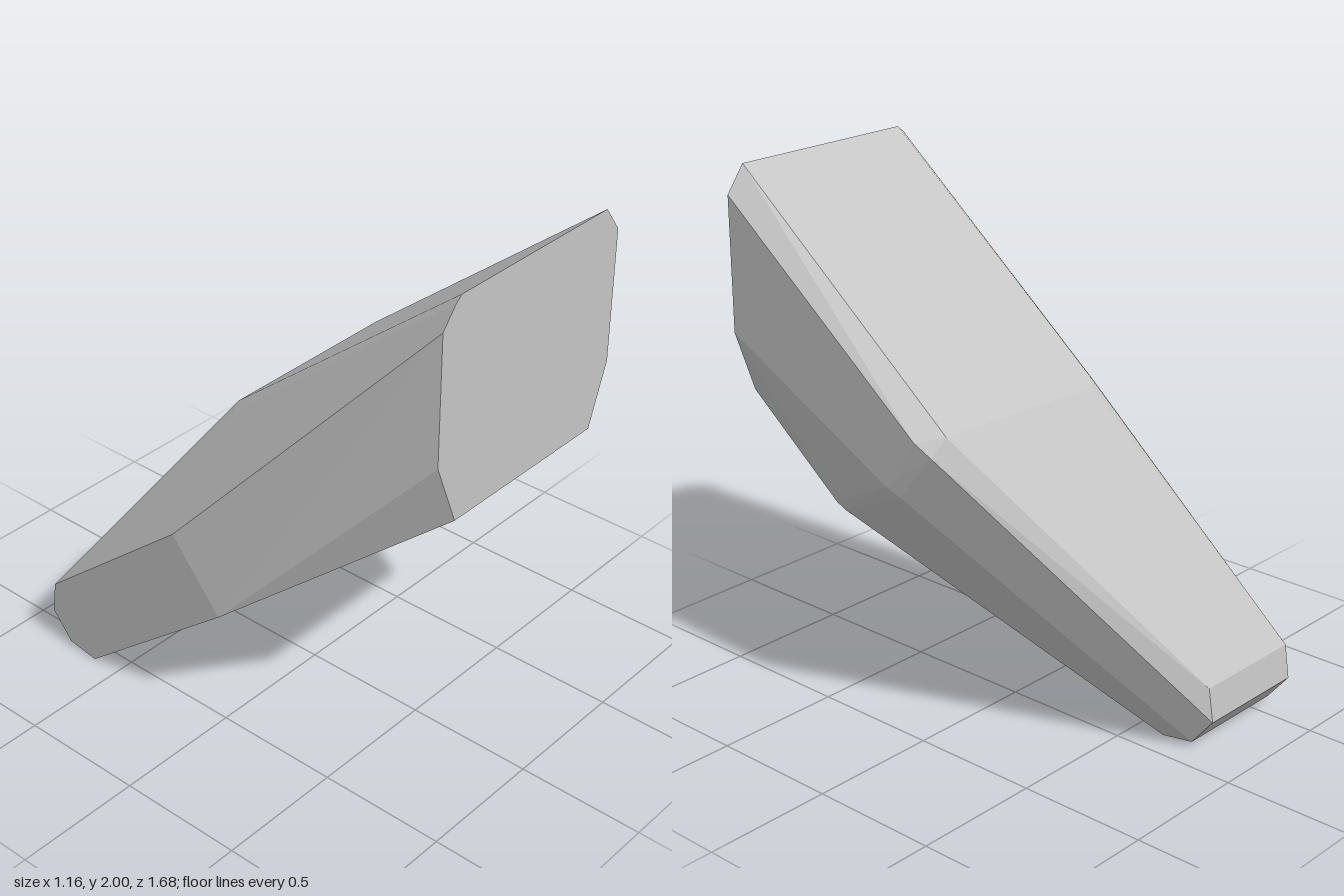
import * as THREE from 'three';
import { ConvexGeometry } from 'three/addons/geometries/ConvexGeometry.js';

export function createModel() {
  const group = new THREE.Group();
  group.name = 'facetedBlock';
  const grey = new THREE.MeshStandardMaterial({ color: 0xc4c4c4 });
  grey.name = 'light grey';

  // flat front face with clipped corners
  const front = [
    [-0.26, 1.15], [0.495, 1.15], [0.58, 1.39], [0.58, 1.9],
    [0.505, 2], [-0.27, 2], [-0.3, 1.975], [-0.36, 1.9], [-0.36, 1.4],
  ].map(([x, y]) => [x, y, 0.84]);

  // left shoulder, from the top corner down to the underside
  const leftShoulder = [
    [-0.27, 1.232, -0.115], [-0.25, 1.197, -0.15], [-0.3, 1.2, -0.115],
    [-0.58, 0.8, -0.16], [-0.58, 0.54, 0.055],
  ];

  // right shoulder: a narrow bevel between two rails
  const rightShoulder = [
    [0.5, 1.215, -0.135], [0.58, 1.197, -0.06], [0.56, 1.15, -0.12],
    [0.58, 1.0, 0.08], [0.56, 0.965, 0.03],
    [0.495, 0.82, 0.42], [0.485, 0.795, 0.39],
  ];

  // narrow rounded foot, the same profile at both ends
  const footProfile = [[0, -0.62], [0.02, -0.75], [0.13, -0.84], [0.26, -0.82]];
  const foot = [-0.58, -0.115].flatMap((x) => footProfile.map(([y, z]) => [x, y, z]));

  const points = [...front, ...leftShoulder, ...rightShoulder, ...foot]
    .map((p) => new THREE.Vector3(...p));
  const body = new THREE.Mesh(new ConvexGeometry(points), grey);
  body.name = 'body';
  group.add(body);
  return group;
}
